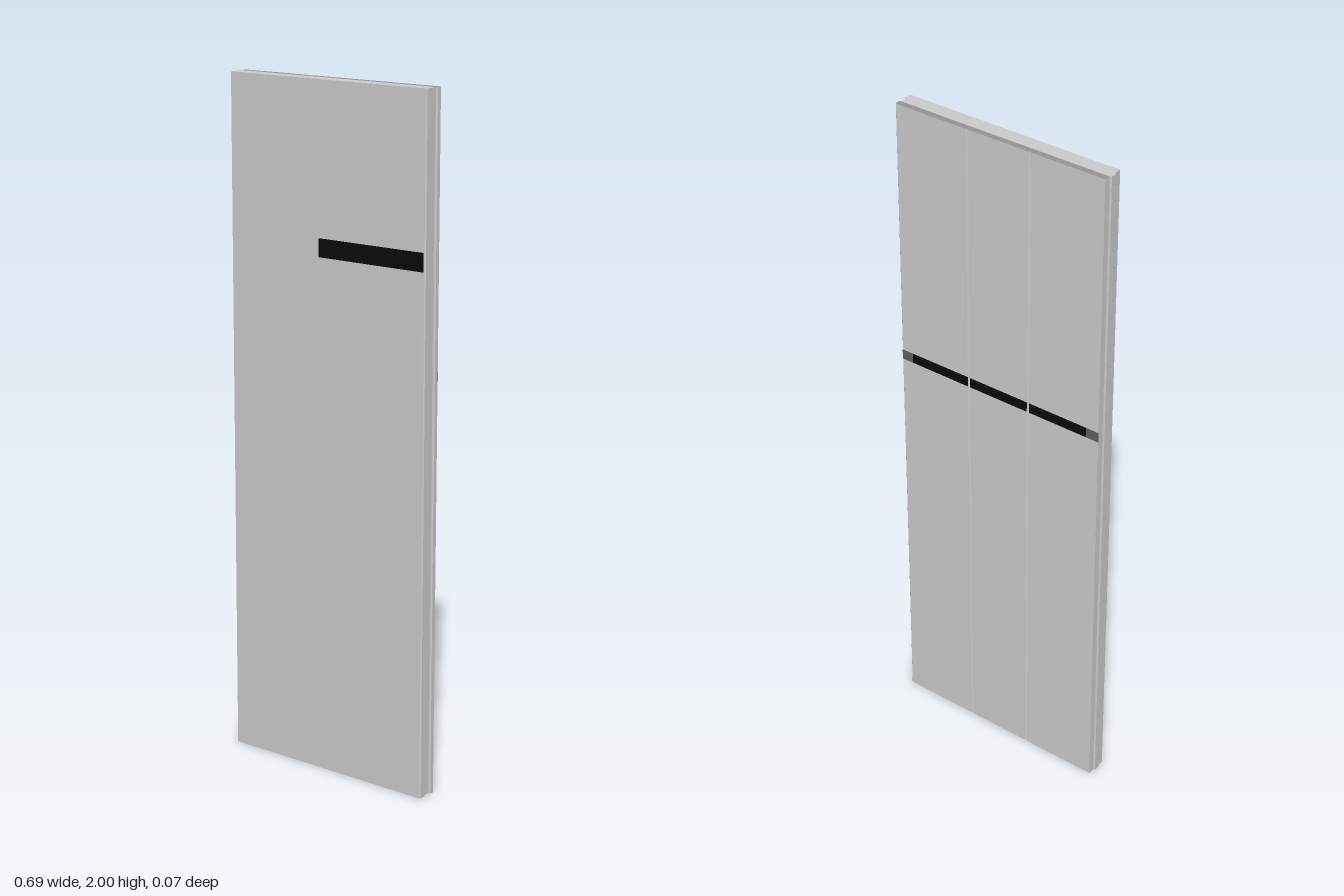
import * as THREE from 'three';

const HEIGHT = 2;
const mat = (color) => new THREE.MeshStandardMaterial({ color });

// Upright board from a plan outline of [x, z] points
function board(name, plan, materials) {
  const shape = new THREE.Shape(plan.map(([x, z]) => new THREE.Vector2(x, -z)));
  const geo = new THREE.ExtrudeGeometry(shape, { depth: HEIGHT, bevelEnabled: false });
  geo.rotateX(-Math.PI / 2);
  const mesh = new THREE.Mesh(geo, materials);
  mesh.name = name;
  return mesh;
}

// Thin plate between x0 and x1
function plate(name, x0, x1, y, h, z, material) {
  const mesh = new THREE.Mesh(new THREE.BoxGeometry(x1 - x0, h, 0.0015), material);
  mesh.position.set((x0 + x1) / 2, y, z);
  mesh.name = name;
  return mesh;
}

export function createModel() {
  const group = new THREE.Group();
  group.name = 'panel';
  const grey = mat(0xcccccc), darkGrey = mat(0x949494);
  const black = mat(0x0a0a0a), endGrey = mat(0x606060);

  // Front layer with the tongue on one edge and the groove floor on the other
  group.add(board('frontLayer', [
    [-0.341, 0.031], [0.341, 0.031], [0.344, 0.028], [0.344, 0.011], [0.341, 0.008],
    [0.338, 0.008], [0.338, -0.014], [-0.341, -0.014], [-0.344, -0.014],
    [-0.346, -0.011], [-0.346, 0.006], [-0.344, 0.009], [-0.341, 0.009],
  ], grey));

  // Back layer with two V-grooves and darker end grain
  const notch = (x) => [[x + 0.004, -0.033], [x, -0.027], [x - 0.004, -0.033]];
  group.add(board('backLayer', [
    [-0.341, -0.014], [0.341, -0.014], [0.344, -0.017], [0.344, -0.030], [0.341, -0.033],
    ...notch(0.103), ...notch(-0.103), [-0.341, -0.033],
  ], [darkGrey, grey]));

  // Short dark bar on the front
  group.add(plate('frontBar', -0.024, 0.338, 1.537, 0.053, 0.0313, black));

  // Dark band across the back, broken at the grooves, with grey ends
  const band = new THREE.Group();
  band.name = 'backBand';
  [[-0.30, -0.107], [-0.099, 0.099], [0.107, 0.305]].forEach(([a, b]) =>
    band.add(plate('bandSegment', a, b, 1.215, 0.03, -0.0331, black)));
  [[-0.341, -0.30], [0.305, 0.342]].forEach(([a, b]) =>
    band.add(plate('bandEnd', a, b, 1.215, 0.03, -0.0331, endGrey)));
  group.add(band);

  return group;
}
